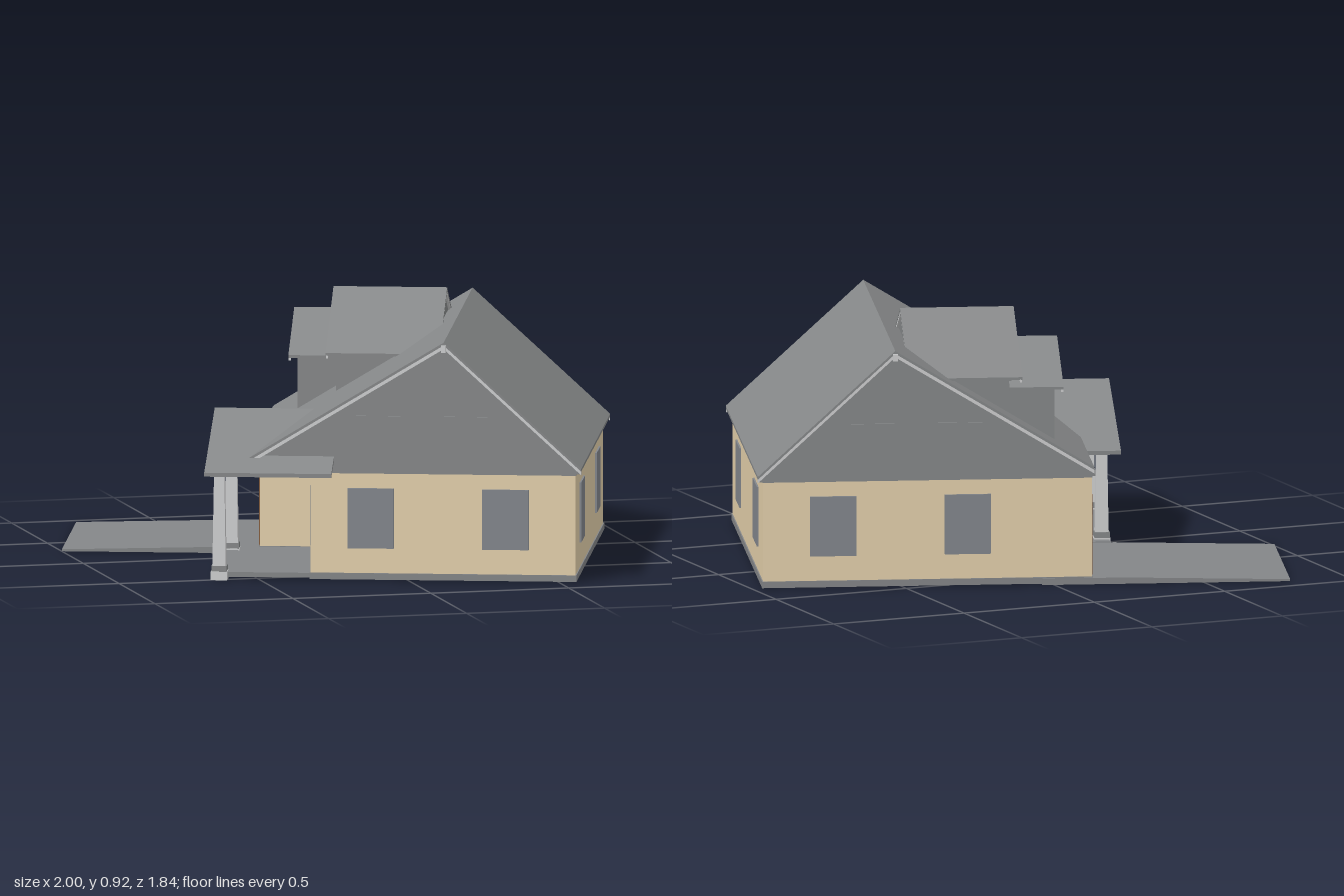
import * as THREE from 'three';

const mat = (name, color) => {
  const m = new THREE.MeshStandardMaterial({ color });
  m.name = name;
  return m;
};

export function createModel() {
  const roofGrey = mat('roof grey', 0x868889);
  const tan = mat('tan siding', 0xe5d1ac);
  const trimGrey = mat('light trim', 0xcfd0d1);
  const glass = mat('window grey', 0x83878d);
  const brown = mat('brown door', 0x855d3b);
  const concrete = mat('concrete', 0x848688);

  const model = new THREE.Group();
  model.name = 'house';
  const house = new THREE.Group();
  house.name = 'turnedHouse';
  house.rotation.y = -0.331;
  model.add(house);

  const add = (name, geo, material) => {
    const m = new THREE.Mesh(geo, material);
    m.name = name;
    house.add(m);
    return m;
  };
  const shapeOf = (pts) => new THREE.Shape(pts.map(([a, b]) => new THREE.Vector2(a, b)));
  const extrude = (shape, depth) => new THREE.ExtrudeGeometry(shape, { depth, bevelEnabled: false });

  // Profile in (x, y), swept from z0 to z1
  const alongZ = (pts, z0, z1) => extrude(shapeOf(pts), z1 - z0).translate(0, 0, z0);
  // Profile in (z, y), swept from x0 to x1
  const alongX = (pts, x0, x1) =>
    extrude(shapeOf(pts.map(([z, y]) => [-z, y])), x1 - x0).rotateY(Math.PI / 2).translate(x0, 0, 0);
  // Clockwise plan in (x, z) with a hole wound the other way, swept from y0 to y1
  const alongY = (pts, hole, y0, y1) => {
    const flip = (list) => list.map(([x, z]) => [x, -z]);
    const s = shapeOf(flip(pts));
    s.holes.push(shapeOf(flip(hole).reverse()));
    return extrude(s, y1 - y0).rotateX(-Math.PI / 2).translate(0, y0, 0);
  };
  // Gable roof section from its three top points, lowered by d, thickness t
  const chevron = (p, t, d = 0) => [
    ...p.map(([a, y]) => [a, y - d]),
    ...[...p].reverse().map(([a, y]) => [a, y - d - t]),
  ];
  const box = (x0, x1, y0, y1, z0, z1) =>
    new THREE.BoxGeometry(x1 - x0, y1 - y0, z1 - z0).translate((x0 + x1) / 2, (y0 + y1) / 2, (z0 + z1) / 2);

  // Walls and footing follow an L-shaped plan with the porch cut out
  const plan = (o) => [
    [-0.345 - o, -0.607 - o], [0.812 + o, -0.607 - o], [0.812 + o, 0.662 + o],
    [-0.12 - o, 0.662 + o], [-0.12 - o, 0.04 + o], [-0.345 - o, 0.04 + o],
  ];
  add('walls', alongY(plan(0), plan(-0.008), 0.02, 0.38), tan);
  add('footing', alongY(plan(0.004), plan(-0.007), 0.004, 0.027), concrete);

  // Attic with front and back gables
  add('attic', alongZ([[-0.347, 0.38], [0.814, 0.38], [0.814, 0.406], [0.35, 0.835], [-0.347, 0.412]], -0.609, 0.664), roofGrey);

  // Main roof, rake trim and eave boards
  const mainTop = [[-0.351, 0.424], [0.35, 0.85], [0.834, 0.408]];
  add('mainRoof', alongZ(chevron(mainTop, 0.01), -0.643, 0.684), roofGrey);
  for (const z of [-0.642, 0.675]) {
    add('rakeTrim', alongZ(chevron(mainTop, 0.014, 0.009), z, z + 0.008), trimGrey);
  }
  for (const z of [-0.656, 0.684]) add('ridgeEnd', box(0.342, 0.358, 0.815, 0.84, z, z + 0.014), trimGrey);
  add('rightEaveBoard', box(0.814, 0.828, 0.388, 0.406, -0.64, 0.68), roofGrey);
  add('garageEaveBoard', box(-0.355, -0.345, 0.392, 0.414, -0.64, 0.04), roofGrey);

  // Porch roof, gable and slab
  const porchTop = [[-0.182, 0.392], [0.312, 0.556], [0.796, 0.396]];
  add('porchRoof', alongX(chevron(porchTop, 0.014), -0.484, -0.037), roofGrey);
  add('porchGable', alongX([[-0.14, 0.38], [0.75, 0.38], [0.312, 0.543]], -0.472, -0.14), roofGrey);
  add('porchSlab', box(-0.465, 0.03, 0.008, 0.025, 0.04, 0.661), concrete);

  // Tapered porch columns, each on a plinth with a grey band
  for (const z of [0.11, 0.665]) {
    const shaft = new THREE.CylinderGeometry(0.036 / Math.SQRT2, 0.047 / Math.SQRT2, 0.335, 4, 1);
    shaft.rotateY(Math.PI / 4).translate(-0.44, 0.2175, z);
    add('porchColumn', shaft.toNonIndexed(), trimGrey).geometry.computeVertexNormals();
    add('columnBand', box(-0.467, -0.413, 0.03, 0.05, z - 0.027, z + 0.027), roofGrey);
    add('columnPlinth', box(-0.469, -0.411, 0, 0.03, z - 0.029, z + 0.029), trimGrey);
  }

  // Driveway sloping away from the garage
  add('driveway', alongZ([[-1.043, 0], [-0.17, 0], [-0.17, 0.024], [-0.48, 0.022], [-1.043, 0.007]], -0.615, 0.041), concrete);

  // Two stepped dormers
  const dormers = [
    { name: 'upperDormer', top: [[-0.558, 0.733], [-0.192, 0.917], [0.174, 0.733]], x: [-0.105, 0.295], wall: [-0.07, 0.284], z: [-0.525, 0.14] },
    { name: 'lowerDormer', top: [[-0.561, 0.697], [-0.285, 0.828], [-0.01, 0.697]], x: [-0.25, -0.06], wall: [-0.22, -0.05], z: [-0.525, -0.045] },
  ];
  for (const d of dormers) {
    const [[ez, ey], [rz, ry]] = d.top;
    const slope = (ry - ey) / (rz - ez);
    const under = (z) => ry - 0.008 - Math.abs(z - rz) * slope;
    const [z0, z1] = d.z;
    add(d.name + 'Roof', alongX(chevron(d.top, 0.01), ...d.x), roofGrey);
    add(d.name + 'Wall', alongX([[z0, 0.49], [z1, 0.49], [z1, under(z1)], [rz, ry - 0.008], [z0, under(z0)]], ...d.wall), roofGrey);
    add(d.name + 'Trim', alongX(chevron(d.top, 0.01, 0.009), d.x[0] + 0.001, d.x[0] + 0.009), trimGrey);
  }
  add('upperDormerBackTrim', alongX(chevron(dormers[0].top, 0.012, 0.009), 0.286, 0.294), trimGrey);

  // Windows as thin plates: same layout on the front and back walls
  const T = 0.006;
  const frontBack = [
    [0.01, 0.173, 0.115, 0.328, glass], [0.484, 0.648, 0.115, 0.328, glass],
    [0.04, 0.197, 0.475, 0.585, roofGrey], [0.35, 0.503, 0.475, 0.585, roofGrey],
  ];
  for (const [x0, x1, y0, y1, material] of frontBack) {
    add('frontWindow', box(x0, x1, y0, y1, 0.662, 0.664 + T), material);
    add('backWindow', box(x0, x1, y0, y1, -0.609 - T, -0.607), material);
  }
  for (const [z0, z1] of [[-0.41, -0.242], [0.303, 0.472]]) {
    add('sideWindow', box(0.812, 0.812 + T, 0.115, 0.328, z0, z1), glass);
  }
  add('porchWindow', box(-0.12 - T, -0.12, 0.115, 0.328, 0.45, 0.615), glass);
  add('lowerDormerWindow', box(-0.22 - T, -0.22, 0.555, 0.665, -0.44, -0.13), roofGrey);
  add('upperDormerWindow', box(-0.07 - T, -0.07, 0.65, 0.745, 0.02, 0.105), roofGrey);

  // Front door and garage door with arched lights
  add('frontDoor', box(-0.12 - T, -0.12, 0.027, 0.3, 0.14, 0.285), brown);
  add('garageDoor', box(-0.345 - T, -0.345, 0.025, 0.31, -0.565, 0.015), brown);
  for (let i = 0; i < 4; i++) {
    const c = -0.49 + i * 0.143;
    const arch = [[c - 0.05, 0.235], [c + 0.05, 0.235]];
    for (let k = 0; k <= 6; k++) {
      const a = (k / 6) * Math.PI;
      arch.push([c + 0.05 * Math.cos(a), 0.262 + 0.025 * Math.sin(a)]);
    }
    add('garageDoorLight', alongX(arch, -0.345 - T - 0.003, -0.345), glass);
  }
  return model;
}
